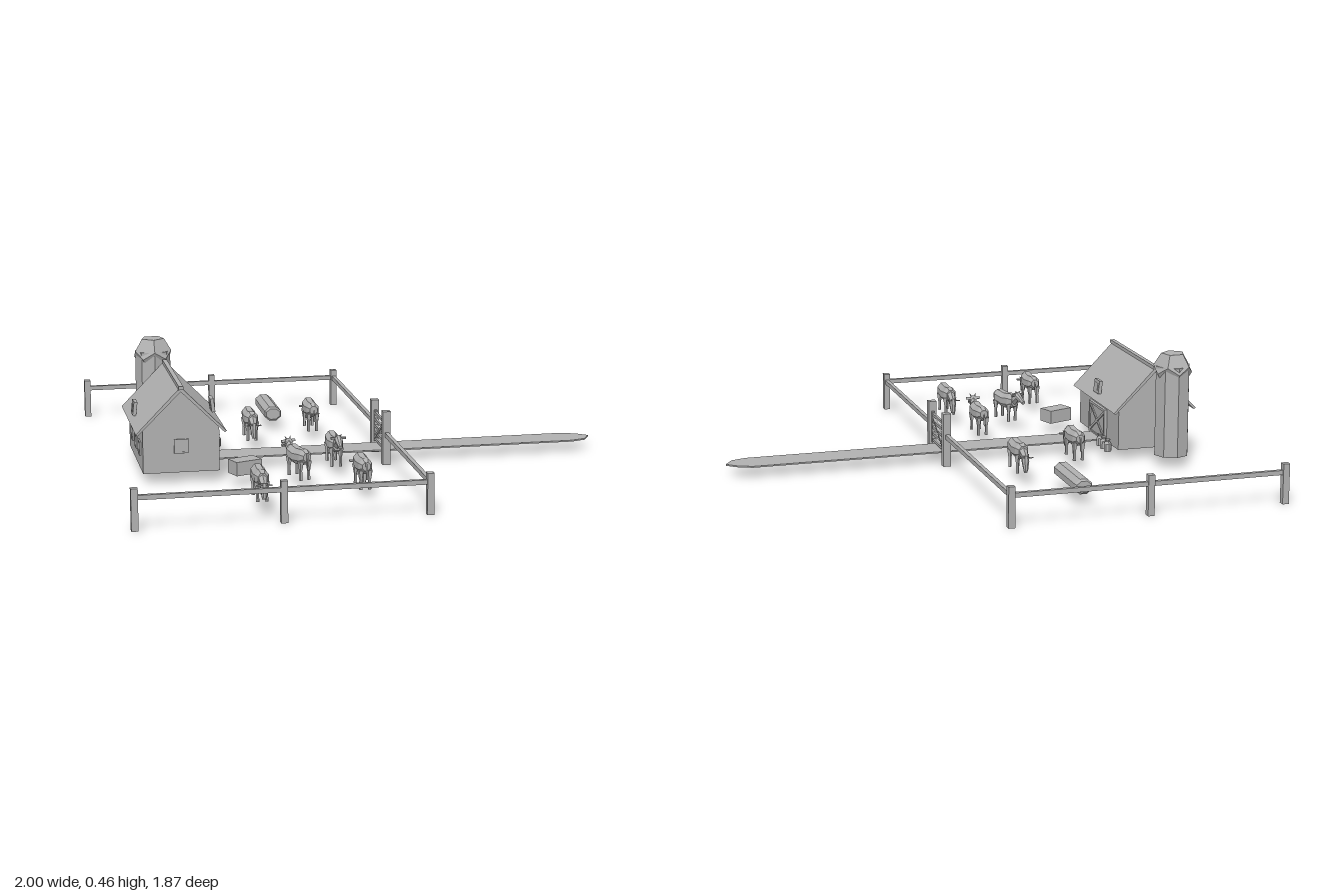
import * as THREE from 'three';

const G = 0.045; // ground level
const grey = new THREE.MeshStandardMaterial({ color: 0xb0b0b0, flatShading: true });
grey.name = 'grey';

function add(parent, name, geo, x = 0, y = 0, z = 0) {
  const m = new THREE.Mesh(geo, grey);
  m.name = name;
  m.position.set(x, y, z);
  parent.add(m);
  return m;
}
const box = (p, name, w, h, d, x, y, z) => add(p, name, new THREE.BoxGeometry(w, h, d), x, y, z);

function group(parent, name, x = 0, y = 0, z = 0) {
  const g = new THREE.Group();
  g.name = name;
  g.position.set(x, y, z);
  parent.add(g);
  return g;
}

function extrude(points, depth) {
  const s = new THREE.Shape(points.map(([x, y]) => new THREE.Vector2(x, y)));
  return new THREE.ExtrudeGeometry(s, { depth, bevelEnabled: false });
}

// Skin through rings of chamfered sections: [z, half width, bottom, top]
function loft(sections) {
  const pos = [], idx = [], n = 8;
  for (const [z, w, b, t] of sections) {
    const c = (b + t) / 2, h = (t - b) / 2;
    for (let i = 0; i < n; i++) {
      const a = (i + 0.5) * Math.PI * 2 / n;
      pos.push(w * Math.cos(a) * 1.08, c + h * Math.sin(a) * 1.08, z);
    }
  }
  for (let s = 0; s < sections.length - 1; s++)
    for (let i = 0; i < n; i++) {
      const a = s * n + i, b = s * n + (i + 1) % n;
      idx.push(a, b, b + n, a, b + n, a + n);
    }
  const last = (sections.length - 1) * n;
  for (let i = 1; i < n - 1; i++) idx.push(0, i + 1, i, last, last + i, last + i + 1);
  const g = new THREE.BufferGeometry();
  g.setAttribute('position', new THREE.Float32BufferAttribute(pos, 3));
  g.setIndex(idx);
  g.computeVertexNormals();
  return g;
}

// Cow facing +z, either grazing or with its head raised
function cow(parent, x, z, turn, grazing) {
  const c = group(parent, 'cow', x, 0, z);
  c.rotation.y = turn;
  add(c, 'cowBody', loft([
    [-0.076, 0.016, 0.12, 0.152], [-0.055, 0.026, 0.103, 0.163], [0, 0.028, 0.095, 0.158],
    [0.045, 0.027, 0.1, 0.164], [0.068, 0.018, 0.112, 0.156],
  ]));
  for (const sx of [-1, 1])
    for (const lz of [-0.055, 0.045]) {
      add(c, 'cowThigh', new THREE.CylinderGeometry(0.013, 0.007, 0.035, 5), sx * 0.017, 0.1, lz);
      add(c, 'cowLeg', new THREE.CylinderGeometry(0.006, 0.007, 0.05, 5), sx * 0.017, G + 0.022, lz);
    }
  const tail = box(c, 'cowTail', 0.006, 0.065, 0.006, 0, 0.12, -0.082);
  tail.rotation.x = 0.15;
  const head = group(c, 'cowHead', 0, grazing ? 0.112 : 0.162, grazing ? 0.094 : 0.09);
  const neck = add(c, 'cowNeck', new THREE.CylinderGeometry(0.013, 0.019, 0.045, 6), 0, grazing ? 0.126 : 0.148, 0.075);
  neck.rotation.x = grazing ? 2.1 : 0.9;
  add(head, 'cowSkull', loft([
    [-0.012, 0.014, -0.014, 0.013], [0.01, 0.014, -0.014, 0.012], [0.048, 0.008, -0.011, 0.004],
  ]));
  for (const sx of [-1, 1]) {
    box(head, 'cowEar', 0.018, 0.01, 0.005, sx * 0.021, 0.004, -0.004);
    const horn = add(head, 'cowHorn', new THREE.ConeGeometry(0.004, 0.016, 4), sx * 0.01, 0.017, -0.007);
    horn.rotation.z = -sx * 0.4;
  }
  head.rotation.x = grazing ? 1.35 : 0.4;
}

function windowPlate(parent, x, y, z, turn) {
  const w = group(parent, 'window', x, y, z);
  w.rotation.y = turn;
  box(w, 'windowPane', 0.048, 0.048, 0.006, 0, 0, 0);
  for (const s of [-1, 1]) {
    box(w, 'windowFrame', 0.056, 0.006, 0.009, 0, s * 0.025, 0);
    box(w, 'windowFrame', 0.006, 0.056, 0.009, s * 0.025, 0, 0);
  }
}

function barn(parent) {
  const b = group(parent, 'barn', -0.733, 0, 0);
  add(b, 'barnWalls', extrude([[-0.15, G], [0.15, G], [0.15, 0.22], [0, 0.37], [-0.15, 0.22]], 0.475), 0, 0, -0.18);
  add(b, 'barnRoof', extrude([[-0.178, 0.205], [-0.17, 0.2], [0, 0.368], [0.17, 0.2], [0.178, 0.205], [0, 0.387]], 0.507), 0, 0, -0.2);
  box(b, 'ridgeBeam', 0.018, 0.014, 0.52, 0, 0.385, 0.06);
  windowPlate(b, 0, 0.15, 0.297, 0);
  for (const z of [-0.05, 0.09, 0.2]) windowPlate(b, -0.152, 0.13, z, Math.PI / 2);
  // Upright roof hatches near the eaves
  for (const s of [-1, 1]) {
    const hatch = box(b, 'roofHatch', 0.014, 0.055, 0.06, s * 0.155, 0.258, 0.06);
    hatch.rotation.z = s * 0.12;
    box(hatch, 'hatchPane', 0.018, 0.03, 0.035, 0, 0, 0);
  }
  // Double door with crossed braces
  box(b, 'barnDoor', 0.008, 0.135, 0.19, 0.153, G + 0.0675, 0.055);
  for (const s of [-1, 1]) {
    const brace = box(b, 'doorBrace', 0.008, 0.01, 0.215, 0.158, G + 0.0675, 0.055);
    brace.rotation.x = s * 0.57;
    box(b, 'doorFrame', 0.009, 0.135, 0.01, 0.158, G + 0.0675, 0.055 + s * 0.09);
    box(b, 'doorFrame', 0.009, 0.01, 0.19, 0.158, G + 0.0675 + s * 0.0625, 0.055);
  }
}

function silo(parent) {
  const s = group(parent, 'silo', -0.77, 0, -0.29);
  add(s, 'siloTower', new THREE.CylinderGeometry(0.072, 0.072, 0.37, 8), 0, G + 0.185, 0);
  const dome = new THREE.DodecahedronGeometry(0.079);
  dome.rotateX(-Math.atan(2 / (1 + Math.sqrt(5))));
  add(s, 'siloDome', dome, 0, 0.402, 0);
}

function fence(parent) {
  const f = group(parent, 'fence');
  const R = 0.112, back = -0.928, front = 0.92, gate = [-0.053, 0.163];
  for (const z of [back, front]) {
    for (const x of [-0.987, -0.438, R]) box(f, 'fencePost', 0.026, 0.16, 0.026, x, 0.08, z);
    box(f, 'fenceRail', R + 0.987, 0.018, 0.016, (R - 0.987) / 2, 0.125, z);
  }
  for (const [a, b] of [[back, gate[0]], [gate[1], front]])
    box(f, 'fenceRail', 0.016, 0.018, b - a, R, 0.125, (a + b) / 2);
  for (const z of gate) box(f, 'gatePost', 0.032, 0.22, 0.03, R, 0.11, z);
  // Slatted gate
  const mid = (gate[0] + gate[1]) / 2;
  for (let i = 0; i < 5; i++) box(f, 'gateSlat', 0.01, 0.011, 0.2, R, 0.06 + i * 0.027, mid);
  for (const s of [-1, 1]) box(f, 'gateStile', 0.012, 0.13, 0.012, R, 0.114, mid + s * 0.088);
  const brace = box(f, 'gateBrace', 0.014, 0.01, 0.205, R, 0.114, mid);
  brace.rotation.x = -0.54;
}

export function createModel() {
  const farm = new THREE.Group();
  farm.name = 'farm';
  barn(farm);
  silo(farm);
  fence(farm);

  // Path from the barn door through the gate
  const path = extrude([[-0.58, -0.012], [0.9, -0.012], [0.96, 0.015], [0.998, 0.048], [0.965, 0.1], [0.905, 0.12], [-0.58, 0.12]], 0.006);
  path.rotateX(Math.PI / 2);
  add(farm, 'path', path, 0, G + 0.004, 0);

  // Trough with a chamfered outline
  add(farm, 'trough', loft([
    [-0.133, 0.029, 0.053, 0.098], [-0.125, 0.035, G, 0.105], [0.125, 0.035, G, 0.105], [0.133, 0.029, 0.053, 0.098],
  ]), -0.238, 0, -0.612);

  box(farm, 'hayBale', 0.112, 0.055, 0.07, -0.492, G + 0.0275, 0.35).rotation.y = 0.36;

  // Milk cans beside the barn
  const can = new THREE.LatheGeometry([[0, 0], [0.016, 0], [0.016, 0.032], [0.009, 0.041], [0.012, 0.05], [0, 0.05]]
    .map(([x, y]) => new THREE.Vector2(x, y)), 8);
  for (const z of [-0.18, -0.135, -0.09]) add(farm, 'milkCan', can, -0.537, G, z);

  cow(farm, -0.38, -0.215, 0, true);
  cow(farm, -0.104, -0.335, Math.PI, true);
  cow(farm, -0.083, 0.625, Math.PI, true);
  cow(farm, -0.495, 0.725, 0, true);
  cow(farm, -0.123, 0.272, 0, false);
  cow(farm, -0.298, 0.445, Math.PI + 0.284, false);
  return farm;
}
